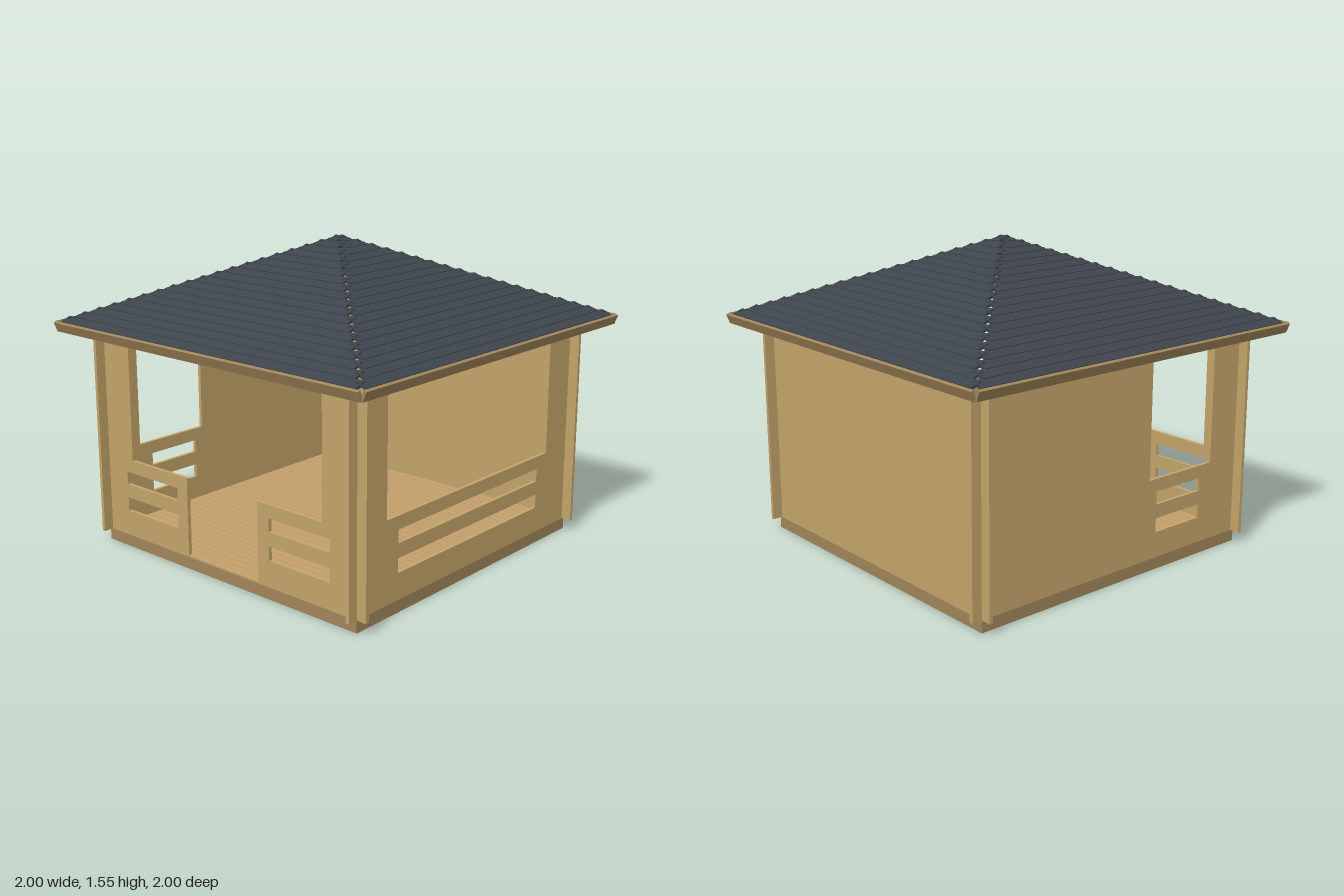
import * as THREE from 'three';

const mat = (color, side = THREE.FrontSide) =>
  new THREE.MeshStandardMaterial({ color, side, flatShading: true });

export function createModel() {
  const model = new THREE.Group();
  model.name = 'gardenPavilion';
  const wood = mat(0xc4a46a), trim = mat(0xa0855a), boards = mat(0xc49f6c), slate = mat(0x3e444c);

  const box = (parent, name, material, size, pos) => {
    const mesh = new THREE.Mesh(new THREE.BoxGeometry(...size), material);
    mesh.position.set(...pos);
    mesh.name = name;
    parent.add(mesh);
    return mesh;
  };

  // Walls: flat panels with cut-outs, crossing past each other at the corners
  const T = 0.018, IN = 0.81, WING = 0.88, BOTTOM = 0.06, TOP = 1.16;
  const rect = (x0, x1, y0, y1) => [[x0, y0], [x1, y0], [x1, y1], [x0, y1]];
  const toPoints = (list) => list.map(([x, y]) => new THREE.Vector2(x, y));
  const wall = (name, holes) => {
    const shape = new THREE.Shape(toPoints(rect(-WING, WING, BOTTOM, TOP)));
    holes.forEach((h) => shape.holes.push(new THREE.Path(toPoints(h))));
    const mesh = new THREE.Mesh(
      new THREE.ExtrudeGeometry(shape, { depth: T, bevelEnabled: false }), wood);
    mesh.name = name;
    model.add(mesh);
    return mesh;
  };
  const slots = (x0, x1) => [rect(x0, x1, 0.33, 0.395), rect(x0, x1, 0.19, 0.26)];
  const doorway = [[-0.235, 0.07], [0.235, 0.07], [0.235, 0.46], [0.63, 0.46],
    [0.63, 1.055], [-0.63, 1.055], [-0.63, 0.46], [-0.235, 0.46]];

  wall('frontWall', [doorway, ...slots(-0.675, -0.305), ...slots(0.305, 0.675)]).position.z = IN;
  wall('backWall', []).position.z = -IN - T;
  const left = wall('leftWall', [rect(-0.63, 0.63, 0.46, 1.055), ...slots(-0.55, 0.55)]);
  const right = wall('rightWall', [rect(0.2, 0.63, 0.46, 1.055), ...slots(0.25, 0.55)]);
  left.rotation.y = right.rotation.y = -Math.PI / 2;
  left.position.x = IN + T;
  right.position.x = -IN;

  // Base: outer frame, joists running front to back, floor boards across them
  const base = new THREE.Group();
  base.name = 'base';
  model.add(base);
  const B = 0.828, FR = 0.025;
  for (const s of [-1, 1]) {
    box(base, 'frameBeam', trim, [2 * B, 0.06, FR], [0, 0.03, s * (B - FR / 2)]);
    box(base, 'frameBeam', trim, [FR, 0.06, 2 * (B - FR)], [s * (B - FR / 2), 0.03, 0]);
  }
  for (let i = -2; i <= 2; i++) {
    box(base, 'joist', trim, [0.045, 0.055, 2 * (B - FR)], [i * 0.275, 0.0275, 0]);
  }
  const rows = 36, pitch = 2 * IN / rows;
  for (let i = 0; i < rows; i++) {
    box(base, 'floorBoard', boards, [2 * IN, 0.015, pitch - 0.004],
      [0, 0.0625, -IN + pitch * (i + 0.5)]);
  }

  // Roof: four slopes of lapped planks, square-cut so small gaps remain on the hips
  const SLOPE = 0.42, ANGLE = Math.atan(SLOPE), STEP = 0.0512, LAP = 0.004;
  for (let k = 0; k < 4; k++) {
    const slope = new THREE.Group();
    slope.name = 'roofSlope';
    slope.rotation.y = k * Math.PI / 2;
    model.add(slope);
    for (let i = 0; i < 19; i++) {
      const outer = 0.054 + STEP * i;
      const inner = Math.max(0, outer - STEP - LAP);
      const mid = (outer + inner) / 2;
      const plank = box(slope, 'roofPlank', slate,
        [2 * (0.025 + STEP * i), 0.012, (outer - inner) / Math.cos(ANGLE)],
        [0, 1.545 - SLOPE * mid, mid]);
      plank.rotation.x = ANGLE - 0.05;
    }
    // Fascia board square to the slope
    const fascia = box(slope, 'fascia', trim, [1.95, 0.05, 0.016], [0, 1.116, 0.982]);
    fascia.rotation.x = ANGLE;
  }
  return model;
}
